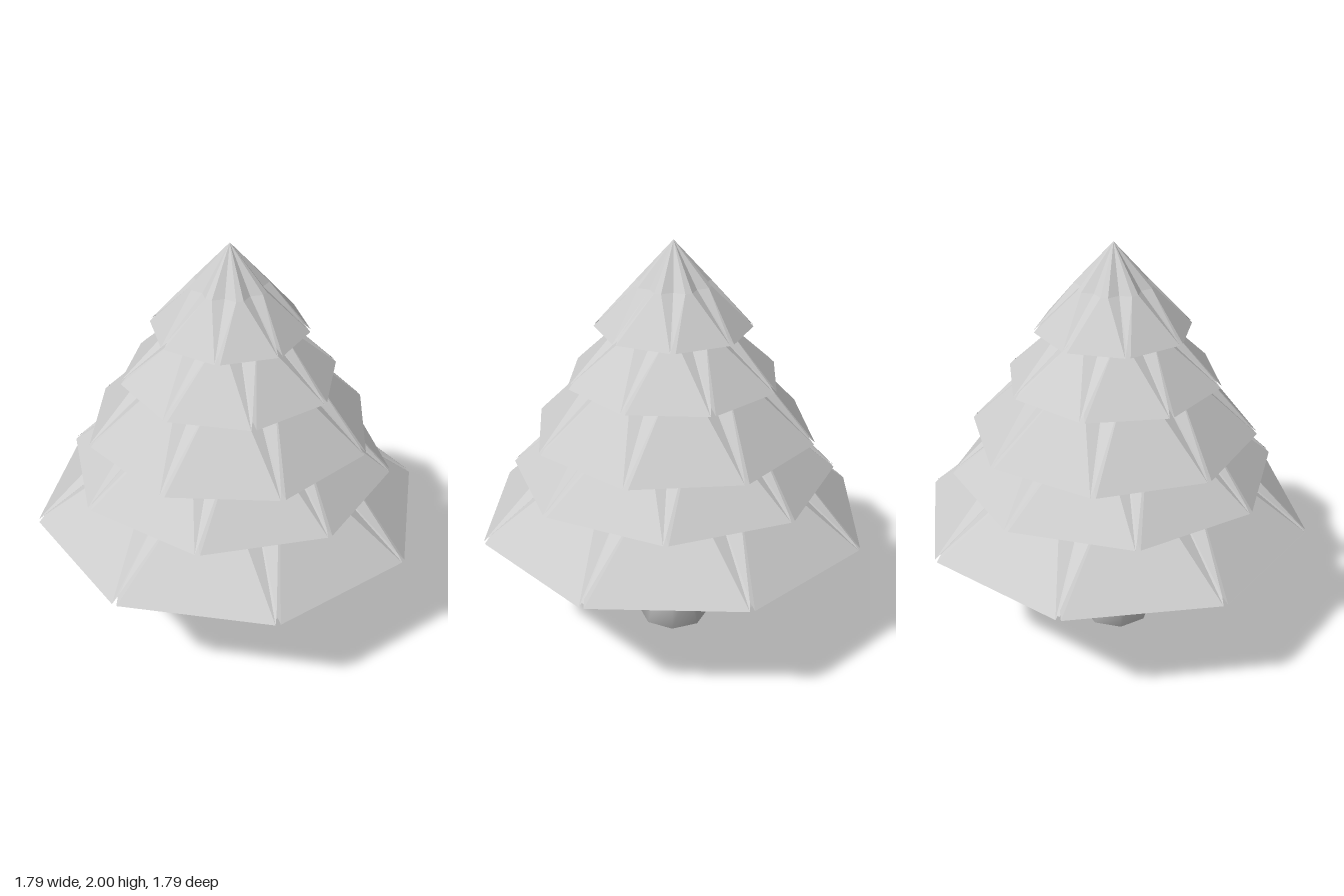
import * as THREE from 'three';
import { mergeVertices } from 'three/addons/utils/BufferGeometryUtils.js';

const leafMat = new THREE.MeshStandardMaterial({ color: 0xcccccc, flatShading: true, side: THREE.DoubleSide });
const trunkMat = new THREE.MeshStandardMaterial({ color: 0xcccccc });
const STEP = Math.PI / 4;

// Point at radius r, height y and angle a around the trunk
const at = (r, y, a) => [r * Math.cos(a), y, -r * Math.sin(a)];

// Eight-panelled skirt: panels narrow upwards, with a folded, kite-shaped pleat at each corner
function makeTier(name, { R, y, midR, midY, top, phase, pleat = 0.3, dent = 0.77, notch = 0.03 }) {
  const pos = [];
  const tri = (...pts) => pts.forEach((p) => pos.push(...p));
  const quad = (a, b, c, d) => { tri(a, b, c); tri(a, c, d); };
  const apex = [0, top, 0];
  const gap = 0.012 / R;
  const flat = midR * Math.cos(STEP / 2) / Math.cos(STEP / 2 - pleat); // keeps panels planar
  for (let i = 0; i < 8; i++) {
    const c = THREE.MathUtils.degToRad(phase) + i * STEP, n = c + STEP;
    // panel between this corner and the next
    const a = at(R, y, c + gap), b = at(R, y, n - gap);
    const ma = at(flat, midY, c + pleat), mb = at(flat, midY, n - pleat);
    quad(a, b, mb, ma);
    tri(ma, mb, apex);
    // pleat at this corner
    const before = at(R, y, c - gap), mBefore = at(flat, midY, c - pleat);
    const fold = at(R - notch, y + notch, c), mFold = at(midR * dent, midY, c);
    quad(before, fold, mFold, mBefore);
    quad(fold, a, ma, mFold);
    tri(mBefore, mFold, apex);
    tri(mFold, ma, apex);
  }
  const geo = new THREE.BufferGeometry();
  geo.setAttribute('position', new THREE.Float32BufferAttribute(pos, 3));
  geo.computeVertexNormals();
  const mesh = new THREE.Mesh(geo, leafMat);
  mesh.name = name;
  return mesh;
}

// Crooked trunk: each station is [height, centre x, centre z, radius]
function makeTrunk() {
  const stations = [
    [0, -0.018, 0, 0.18], [0.18, -0.015, 0, 0.112], [0.4, 0.006, 0.032, 0.095],
    [0.62, -0.02, -0.005, 0.078], [0.9, -0.01, 0, 0.065], [1.25, 0, 0, 0.04],
  ];
  const last = stations.length - 1;
  let geo = new THREE.CylinderGeometry(1, 1, 1, 8, last);
  const p = geo.attributes.position;
  for (let i = 0; i < p.count; i++) {
    const [y, cx, cz, r] = stations[Math.round((p.getY(i) + 0.5) * last)];
    p.setXYZ(i, cx + p.getX(i) * r, y, cz + p.getZ(i) * r);
  }
  // weld seam and caps so the shading is smooth throughout
  geo.deleteAttribute('uv');
  geo.deleteAttribute('normal');
  geo = mergeVertices(geo, 1e-4);
  geo.computeVertexNormals();
  const trunk = new THREE.Mesh(geo, trunkMat);
  trunk.name = 'trunk';
  return trunk;
}

export function createModel() {
  const tree = new THREE.Group();
  tree.name = 'coniferTree';
  tree.add(makeTrunk());

  // Overlapping skirts of foliage, top to bottom
  const tiers = [
    { R: 0.37, y: 1.595, midR: 0.195, midY: 1.8, top: 2, phase: 2 },
    { R: 0.515, y: 1.35, midR: 0.26, midY: 1.61, top: 1.87, phase: 22 },
    { R: 0.69, y: 1.085, midR: 0.35, midY: 1.46, top: 1.8, phase: 30 },
    { R: 0.785, y: 0.88, midR: 0.4, midY: 1.27, top: 1.65, phase: 0 },
    { R: 0.96, y: 0.625, midR: 0.49, midY: 1.07, top: 1.52, phase: 23 },
  ];
  tiers.forEach((t, i) => tree.add(makeTier(`foliageTier${i + 1}`, t)));

  // Plain lining that peeks out below the lowest skirt
  tree.add(makeTier('foliageLining', {
    R: 0.88, y: 0.58, midR: 0.43, midY: 1, top: 1.36, phase: 22.5, pleat: 0.02, dent: 1,
  }));
  return tree;
}
